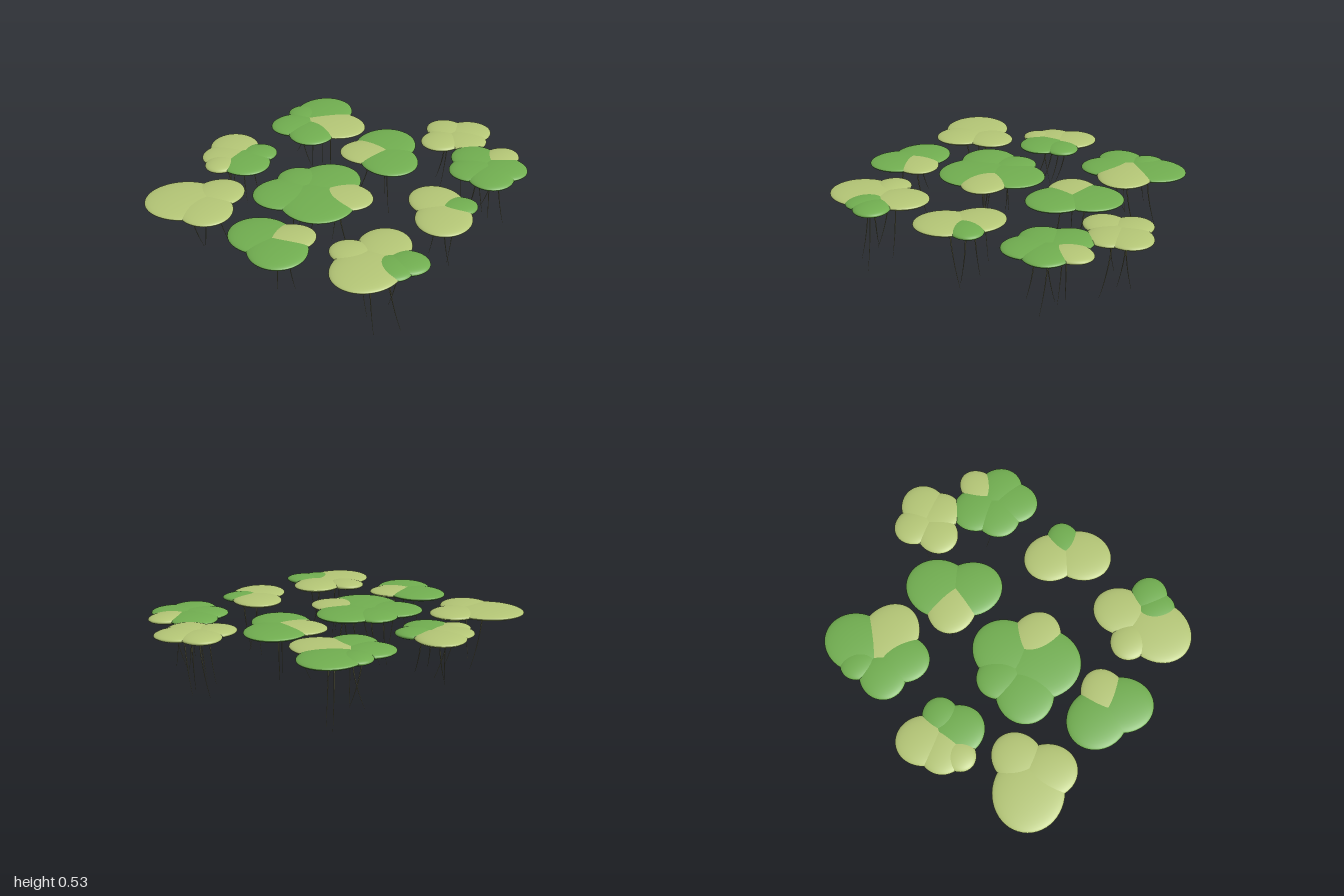
import * as THREE from 'three';

const paleGreen = new THREE.MeshStandardMaterial({ color: 0xb4c676 });
paleGreen.name = 'paleGreen';
const leafGreen = new THREE.MeshStandardMaterial({ color: 0x71ae50 });
leafGreen.name = 'leafGreen';
const rootOlive = new THREE.MeshStandardMaterial({ color: 0x8a8a68 });
rootOlive.name = 'rootOlive';

const LEVEL = 0.502, HALF_THICKNESS = 0.027;
const P = paleGreen, G = leafGreen;

// Each plant is a list of fronds: x, z, radius, material
const plants = [
  [[-0.775, -0.59, 0.2, P], [-0.77, -0.4, 0.155, P], [-0.575, -0.465, 0.14, P]],
  [[-0.13, -0.75, 0.147, P], [-0.255, -0.71, 0.14, P], [-0.345, -0.67, 0.095, P],
    [-0.24, -0.565, 0.15, G], [-0.105, -0.57, 0.105, G]],
  [[0.285, -0.625, 0.135, G], [0.45, -0.665, 0.1, G], [0.56, -0.575, 0.177, G],
    [0.27, -0.465, 0.145, G], [0.445, -0.385, 0.17, P]],
  [[-0.775, -0.02, 0.168, G], [-0.835, 0.165, 0.165, G], [-0.69, 0.145, 0.133, P]],
  [[-0.385, -0.17, 0.168, G], [-0.205, -0.185, 0.135, G], [-0.115, -0.04, 0.19, G],
    [-0.33, 0.045, 0.22, G], [-0.195, 0.155, 0.145, P]],
  [[0.28, -0.065, 0.15, P], [0.44, -0.015, 0.182, G], [0.275, 0.125, 0.17, G]],
  [[0.805, 0.18, 0.12, P], [0.66, 0.235, 0.122, P], [0.862, 0.32, 0.135, P], [0.76, 0.355, 0.13, P]],
  [[0.605, 0.51, 0.145, G], [0.48, 0.565, 0.138, G], [0.465, 0.7, 0.138, G],
    [0.595, 0.715, 0.138, G], [0.715, 0.635, 0.107, P]],
  [[-0.715, 0.63, 0.185, P], [-0.615, 0.465, 0.108, P], [-0.445, 0.58, 0.147, P],
    [-0.515, 0.78, 0.108, G], [-0.605, 0.735, 0.11, G]],
  [[0.07, 0.56, 0.15, P], [-0.075, 0.71, 0.16, P], [0.098, 0.715, 0.1, G]],
];

// Small repeatable number generator, 0 to 1
function makeRandom(seed) {
  return () => (seed = (seed * 16807) % 2147483647) / 2147483647;
}

// Flattened oval leaf, stretched towards the middle of its plant with the outer tip kept in place
function makeFrond(x, z, radius, material, hub, stretch) {
  const dx = hub.x - x, dz = hub.y - z, d = Math.hypot(dx, dz);
  const shift = radius * (stretch - 1) / d;
  const frond = new THREE.Mesh(new THREE.SphereGeometry(1, 48, 20), material);
  frond.name = 'frond';
  frond.scale.set(radius * stretch, HALF_THICKNESS, radius);
  frond.rotation.y = Math.atan2(-dz, dx);
  frond.position.set(x + dx * shift, LEVEL, z + dz * shift);
  return frond;
}

// Fine hanging root that drops straight, then sweeps sideways and tapers to a point
function makeRoot(x, z, tipX, tipZ, tipY) {
  const curve = new THREE.QuadraticBezierCurve3(
    new THREE.Vector3(x, LEVEL - 0.01, z),
    new THREE.Vector3(x + (tipX - x) * 0.1, (LEVEL + tipY) / 2, z + (tipZ - z) * 0.1),
    new THREE.Vector3(tipX, tipY, tipZ));
  const geometry = new THREE.TubeGeometry(curve, 14, 0.005, 6);
  const { position, uv } = geometry.attributes;
  const v = new THREE.Vector3(), c = new THREE.Vector3();
  for (let i = 0; i < position.count; i++) {
    const along = uv.getX(i);
    curve.getPointAt(along, c);
    v.fromBufferAttribute(position, i).lerp(c, along * 0.85);
    position.setXYZ(i, v.x, v.y, v.z);
  }
  const root = new THREE.Mesh(geometry, rootOlive);
  root.name = 'root';
  return root;
}

export function createModel() {
  const model = new THREE.Group();
  model.name = 'floatingPlants';
  const random = makeRandom(4127);

  for (const fronds of plants) {
    const plant = new THREE.Group();
    plant.name = 'plant';
    const hub = new THREE.Vector2();
    fronds.forEach(([x, z]) => hub.add(new THREE.Vector2(x, z)));
    hub.divideScalar(fronds.length);

    for (const [x, z, radius, material] of fronds) {
      // A single frond of the other colour reaches further over the middle
      const matching = fronds.filter((f) => f[3] === material).length;
      plant.add(makeFrond(x, z, radius, material, hub, matching === 1 ? 1.27 : 1.12));

      // One root under the inner part of each frond
      const topX = x + (hub.x - x) * 0.35, topZ = z + (hub.y - z) * 0.35;
      const angle = random() * Math.PI * 2, sweep = 0.04 + random() * 0.05;
      plant.add(makeRoot(topX, topZ, topX + Math.cos(angle) * sweep,
        topZ + Math.sin(angle) * sweep, 0.08 + random() * 0.18));
    }
    model.add(plant);
  }

  // Longest root, below the central plant
  const deepRoot = makeRoot(-0.23, 0.11, -0.15, 0.18, 0);
  deepRoot.name = 'deepRoot';
  model.add(deepRoot);
  return model;
}
